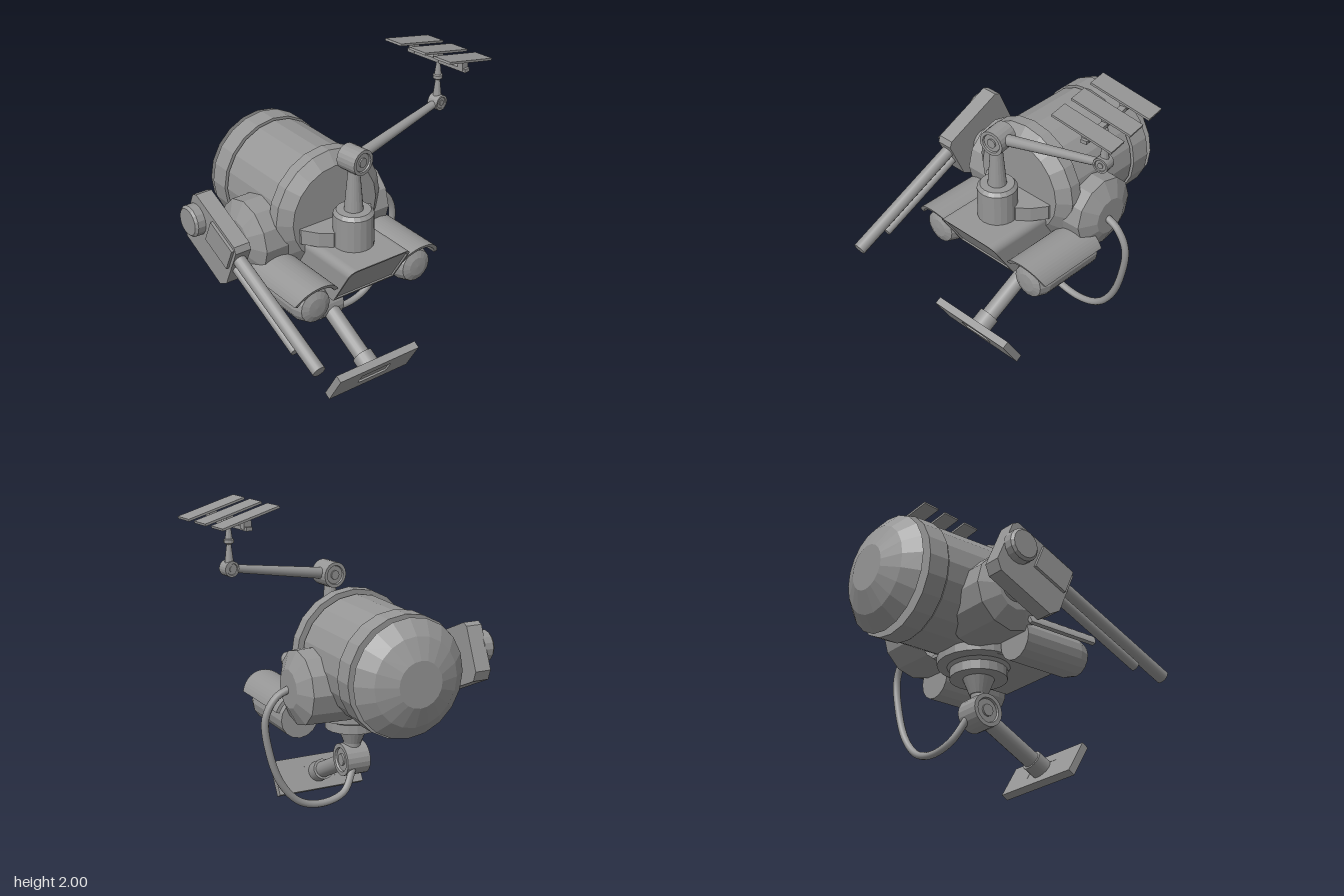
import * as THREE from 'three';

const CX = -0.088; // centre line of the body
const GREY = 0x969696;
const mat = new THREE.MeshStandardMaterial({ color: GREY, flatShading: true, side: THREE.DoubleSide });
const smooth = new THREE.MeshStandardMaterial({ color: GREY, side: THREE.DoubleSide });
const V = (x, y, z) => new THREE.Vector3(x, y, z);

function add(parent, name, geo, x = 0, y = 0, z = 0, m = mat) {
  const mesh = new THREE.Mesh(geo, m);
  mesh.name = name;
  mesh.position.set(x, y, z);
  parent.add(mesh);
  return mesh;
}

function group(parent, name, x = 0, y = 0, z = 0) {
  const g = new THREE.Group();
  g.name = name;
  g.position.set(x, y, z);
  parent.add(g);
  return g;
}

// Turned part, profile given as [radius, height] from bottom to top
const lathe = (pts, seg = 16) => new THREE.LatheGeometry(pts.map(p => new THREE.Vector2(...p)), seg);

// Round rod between two points
function rod(parent, name, a, b, r1, r2 = r1) {
  const d = b.clone().sub(a);
  const m = add(parent, name, new THREE.CylinderGeometry(r2, r1, d.length(), 16), 0, 0, 0, smooth);
  m.position.copy(a).addScaledVector(d, 0.5);
  m.quaternion.setFromUnitVectors(V(0, 1, 0), d.normalize());
}

const poly = pts => new THREE.Shape(pts.map(p => new THREE.Vector2(...p)));
const rect = (w, h) => poly([[-w / 2, -h / 2], [w / 2, -h / 2], [w / 2, h / 2], [-w / 2, h / 2]]);
const extrude = (shape, depth) => new THREE.ExtrudeGeometry(shape, { depth, bevelEnabled: false, curveSegments: 10 });

// Rectangle with rounded top corners, standing on y = 0
function arch(w, h, r) {
  const s = new THREE.Shape();
  s.moveTo(-w / 2, 0).lineTo(w / 2, 0).lineTo(w / 2, h - r);
  s.absarc(w / 2 - r, h - r, r, 0, Math.PI / 2);
  s.absarc(-w / 2 + r, h - r, r, Math.PI / 2, Math.PI);
  return s;
}

// Lean the front end of an extrusion: low points are pulled back
function slantFront(geo, top, slope) {
  const p = geo.attributes.position;
  for (let i = 0; i < p.count; i++) {
    if (p.getZ(i) > 0.001) p.setZ(i, p.getZ(i) - (top - p.getY(i)) * slope);
  }
  geo.computeVertexNormals();
  return geo;
}

// Drum along z with a ring groove around the hub on each end
function joint(parent, name, r, len, x, y, z, yaw) {
  const h = len / 2, c = r * 0.12;
  const half = [[0.36 * r, h], [0.36 * r, h - c], [0.7 * r, h - c], [0.75 * r, h], [r, h]];
  const pts = [[0, -h], ...half.map(([a, b]) => [a, -b]), ...half.reverse(), [0, h]];
  add(parent, name, lathe(pts, 20).rotateX(Math.PI / 2), x, y, z).rotation.y = yaw;
}

function buildBody(root) {
  const profile = [[0, -0.857], [0.14, -0.857], [0.27, -0.8], [0.36, -0.717], [0.285, -0.715], [0.285, -0.675],
    [0.371, -0.675], [0.371, -0.545], [0.345, -0.545], [0.345, -0.533], [0.36, -0.533], [0.36, -0.065],
    [0.275, -0.065], [0.275, -0.045], [0.387, -0.045], [0.387, 0.03], [0.31, 0.095], [0, 0.095]];
  add(root, 'barrelBody', lathe(profile, 20).rotateX(Math.PI / 2), CX, 1.063, 0);
  for (const s of [-1, 1]) {
    const tip = s < 0 ? [[0.24, 0.475], [0.13, 0.533], [0, 0.533]] : [[0.23, 0.45], [0.12, 0.507], [0, 0.507]];
    const dome = lathe([[0.24, 0.15], ...tip], 12).rotateZ(-s * Math.PI / 2);
    add(root, 'shoulderDome', dome, CX, 0.927, -0.18);
  }
}

function buildWeapon(root) {
  rod(root, 'weaponShaft', V(-0.58, 0.93, -0.197), V(-0.72, 0.93, -0.197), 0.088);
  const g = group(root, 'sideWeapon', -0.75, 0.975, -0.19);
  g.rotation.x = 0.42;
  const box = extrude(poly([[-0.25, -0.13], [-0.2, -0.18], [0.19, -0.185], [0.24, -0.12], [0.24, 0.155],
    [0.21, 0.185], [-0.22, 0.185], [-0.25, 0.155]]), 0.107);
  add(g, 'weaponHousing', box.translate(0, 0, -0.053).rotateY(-Math.PI / 2));
  add(g, 'weaponCover', new THREE.BoxGeometry(0.075, 0.16, 0.24), -0.035, 0.085, 0.1);
  add(g, 'roundPod', lathe([[0, 0], [0.1, 0], [0.1, 0.06], [0.085, 0.075], [0, 0.075]], 16).rotateZ(Math.PI / 2), -0.045, 0.034, -0.157);
  rod(g, 'upperBarrel', V(-0.007, 0.077, 0.1), V(-0.007, 0.077, 1.09), 0.041);
  rod(g, 'lowerBarrel', V(-0.007, -0.006, 0.1), V(-0.007, -0.006, 0.88), 0.029);
}

function buildChin(root) {
  // Slanted box with a recessed front panel
  const g = group(root, 'chinBox', CX, 0.66, -0.07);
  const rim = arch(0.455, 0.275, 0.05);
  const hole = arch(0.43, 0.245, 0.045).getPoints(10).map(p => p.add(new THREE.Vector2(0, 0.015)));
  rim.holes.push(new THREE.Path(hole));
  add(g, 'chinShell', slantFront(extrude(rim, 0.62), 0.275, 0.62));
  add(g, 'chinPanel', slantFront(extrude(arch(0.445, 0.27, 0.05), 0.607), 0.275, 0.62));
  add(root, 'chinBracket', extrude(poly([[-0.263, 0], [0.263, 0], [0.263, -0.05], [0.2, -0.14], [0.13, -0.195],
    [-0.13, -0.195], [-0.2, -0.14], [-0.263, -0.05]]), 0.095).rotateX(-Math.PI / 2), CX, 0.935, 0.06);

  // Rounded side rollers under curved covers
  for (const s of [-1, 1]) {
    const pod = group(root, 'sideRoller', CX + s * 0.38, 0.695, 0);
    add(pod, 'roller', lathe([[0, -0.07], [0.124, -0.07], [0.124, 0.345], [0.103, 0.41], [0.06, 0.428], [0, 0.432]], 16).rotateX(Math.PI / 2));
    const a = s > 0 ? 0.36 : Math.PI - 2.6, b = s > 0 ? 2.6 : Math.PI - 0.36;
    const shell = new THREE.Shape();
    shell.absarc(0, 0, 0.168, a, b, false);
    shell.absarc(0, 0, 0.145, b, a, true);
    add(pod, 'rollerCover', slantFront(extrude(shell, 0.545), 0.168, 0.47), 0, 0, -0.07);
  }
}

function buildLeg(root) {
  add(root, 'hipRings', lathe([[0, 0.477], [0.055, 0.477], [0.095, 0.578], [0.174, 0.578], [0.174, 0.636], [0.19, 0.655],
    [0.25, 0.665], [0.25, 0.72], [0, 0.72]], 20), CX, 0, -0.03);
  joint(root, 'knee', 0.103, 0.157, CX, 0.366, -0.02, Math.PI / 2);
  rod(root, 'kneeNeck', V(CX, 0.4, -0.02), V(CX, 0.5, -0.025), 0.055);
  rod(root, 'shin', V(CX, 0.366, -0.02), V(CX, 0.12, 0.46), 0.053);
  rod(root, 'ankleSocket', V(CX, 0.165, 0.375), V(CX, 0.12, 0.46), 0.068);
  // Foot plate with a shallow slot
  const foot = group(root, 'foot', CX, 0.112, 0.474);
  foot.rotation.x = 0.54;
  const plate = rect(0.606, 0.226);
  plate.holes.push(rect(0.222, 0.088));
  add(foot, 'footPlate', extrude(plate, 0.048), 0, 0, -0.024);
  add(foot, 'slotBack', new THREE.BoxGeometry(0.222, 0.088, 0.035), 0, 0, -0.005);
}

function buildAntenna(root) {
  add(root, 'turret', lathe([[0, 0.92], [0.124, 0.92], [0.124, 1.14], [0.105, 1.163], [0.058, 1.165], [0.036, 1.42], [0, 1.42]], 20),
    CX, 0, 0.277);
  const yaw = 0.15;
  joint(root, 'elbow', 0.08, 0.14, -0.078, 1.488, 0.272, yaw);
  rod(root, 'antennaArm', V(-0.078, 1.488, 0.268), V(0.638, 1.61, 0.16), 0.037, 0.024);
  joint(root, 'wrist', 0.048, 0.072, 0.638, 1.61, 0.158, yaw);
  add(root, 'antennaMast', lathe([[0, 1.62], [0.028, 1.64], [0.014, 1.755], [0.03, 1.765], [0.03, 1.785], [0.022, 1.79],
    [0.01, 1.88], [0, 1.88]], 12), 0.64, 0, 0.152);

  // Three tilted panels on a crossbar
  const g = group(root, 'panelArray', 0.642, 1.88, 0.147);
  g.rotation.y = yaw;
  add(g, 'crossbar', new THREE.BoxGeometry(0.04, 0.022, 0.455));
  for (const i of [-1, 0, 1]) {
    add(g, 'panelPost', new THREE.BoxGeometry(0.05, 0.07, 0.04), 0, 0.032, i * 0.19);
    add(g, 'panel', new THREE.BoxGeometry(0.396, 0.014, 0.127), 0, 0.066, i * 0.19).rotation.z = -0.24;
  }
}

export function createModel() {
  const root = new THREE.Group();
  root.name = 'robot';
  buildBody(root);
  buildWeapon(root);
  buildChin(root);
  buildLeg(root);
  buildAntenna(root);

  // Hose from the shoulder down to the knee
  const hose = new THREE.CatmullRomCurve3([V(0.38, 0.93, -0.16), V(0.49, 0.88, -0.16), V(0.56, 0.76, -0.16), V(0.54, 0.55, -0.16),
    V(0.46, 0.33, -0.16), V(0.34, 0.2, -0.16), V(0.19, 0.16, -0.155), V(0.03, 0.2, -0.14), V(-0.06, 0.33, -0.09)]);
  add(root, 'hose', new THREE.TubeGeometry(hose, 48, 0.023, 10), 0, 0, 0, smooth);
  return root;
}
